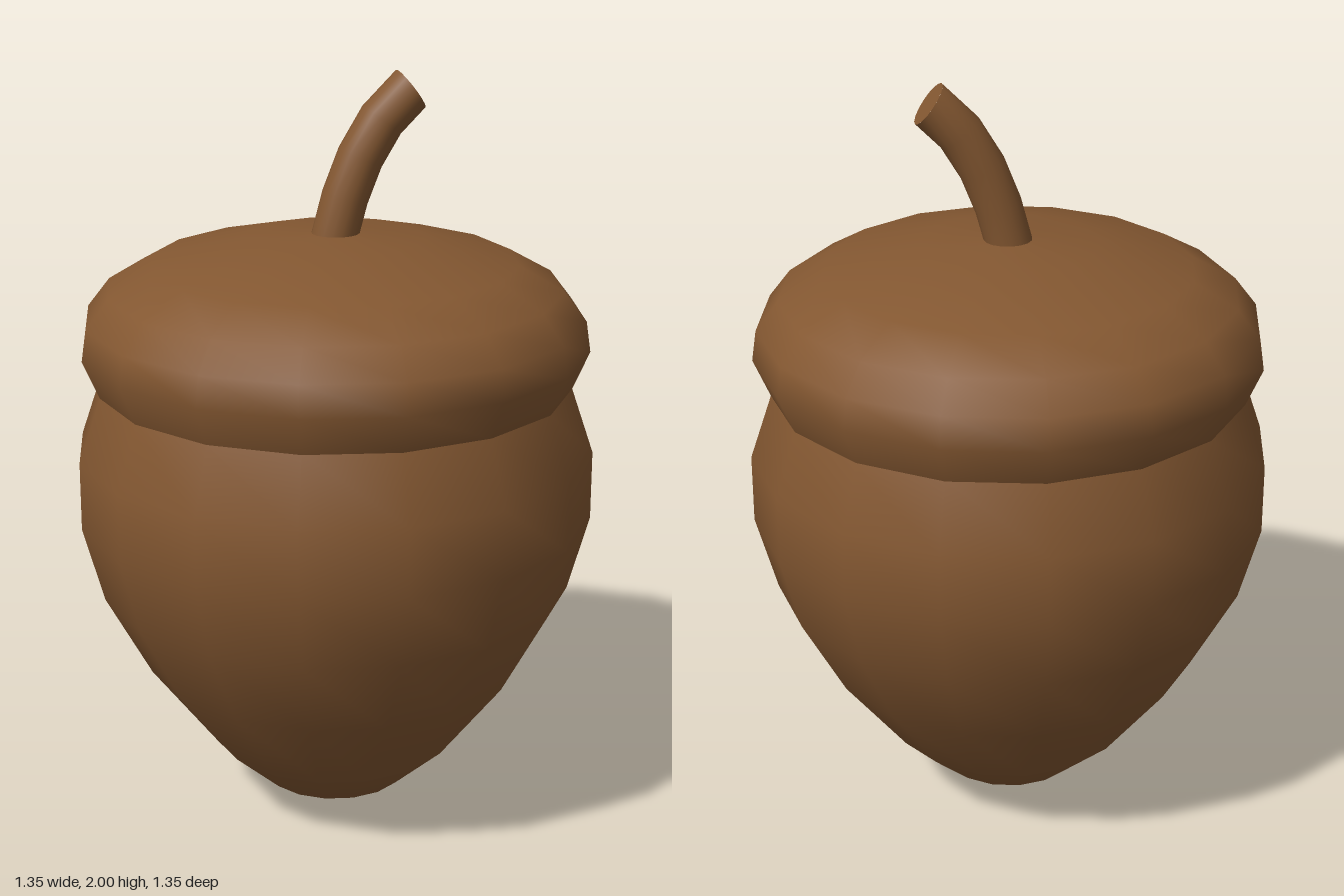
import * as THREE from 'three';

const SIDES = 16;

export function createModel() {
  const group = new THREE.Group();
  group.name = 'acorn';
  const brown = new THREE.MeshStandardMaterial({ color: 0x835731 });
  brown.name = 'acorn brown';

  const add = (name, geometry) => {
    const mesh = new THREE.Mesh(geometry, brown);
    mesh.name = name;
    group.add(mesh);
    return mesh;
  };
  // Profiles run from bottom to top as [radius, height]
  const turned = (profile) =>
    new THREE.LatheGeometry(profile.map(([r, y]) => new THREE.Vector2(r, y)), SIDES);

  // Nut: pointed at the bottom, narrowing to a waist under the cap
  add('nut', turned([
    [0, 0], [0.19, 0.085], [0.325, 0.205], [0.5, 0.43], [0.62, 0.65],
    [0.675, 0.85], [0.675, 1.03], [0.617, 1.2],
  ]));

  // Cap: rounded rim and a shallow dome
  add('cap', turned([
    [0.617, 1.2], [0.66, 1.3], [0.648, 1.38], [0.59, 1.455],
    [0.475, 1.52], [0.23, 1.582], [0, 1.597],
  ]));

  // Stem: bent tube leaning to +x
  const path = new THREE.QuadraticBezierCurve3(
    new THREE.Vector3(0, 1.58, 0),
    new THREE.Vector3(0.06, 1.85, 0),
    new THREE.Vector3(0.2, 1.952, 0),
  );
  add('stem', new THREE.TubeGeometry(path, 4, 0.06, SIDES));

  // Flat cut end of the stem
  const end = add('stemEnd', new THREE.CircleGeometry(0.06, SIDES));
  end.position.copy(path.getPoint(1));
  end.quaternion.setFromUnitVectors(new THREE.Vector3(0, 0, 1), path.getTangent(1));

  return group;
}
